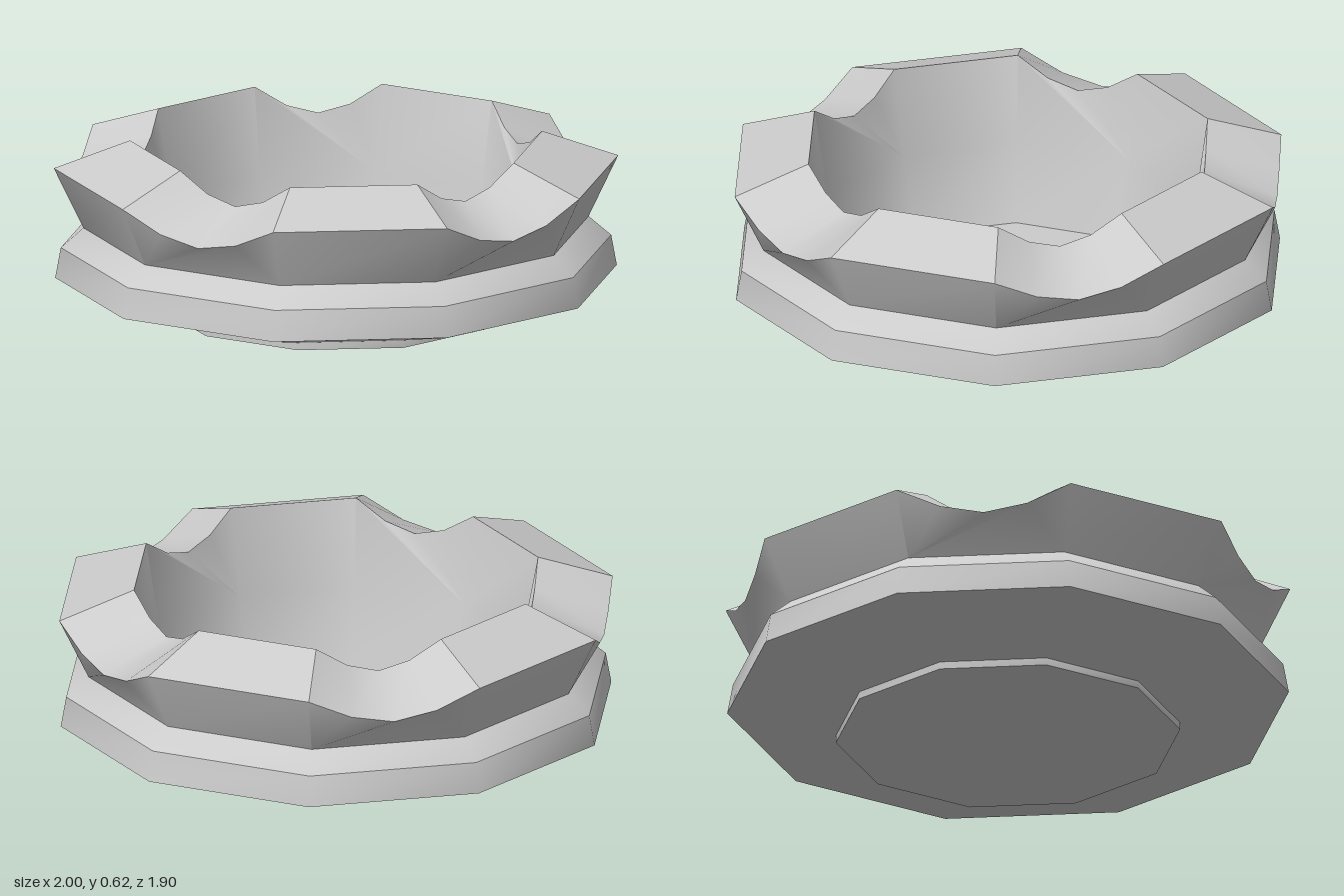
import * as THREE from 'three';
import { mergeGeometries, toCreasedNormals } from 'three/addons/utils/BufferGeometryUtils.js';

const SIDES = 10;
const STEP = (Math.PI * 2) / SIDES;
const CREASE = 0.64;

// Drop of a rest notch along one side: [fraction along the side, drop].
const NOTCH = [[0, 0], [0.25, 0.07], [0.5, 0.1], [0.75, 0.07], [1, 0]];
const PLAIN = [[0, 0], [1, 0]];

// Points of one ring along one side; notched rings dip on every second side.
function chain(ring, side) {
  const corner = (i) => new THREE.Vector3(
    ring.r * Math.cos(i * STEP), ring.y, ring.r * Math.sin(i * STEP));
  const a = corner(side), b = corner((side + 1) % SIDES);
  const dips = ring.notched && side % 2 === 0 ? NOTCH : PLAIN;
  return dips.map(([t, drop]) => {
    const p = a.clone().lerp(b, t);
    p.y -= drop;
    return p;
  });
}

// Triangles between two neighbouring chains of one side.
function stitch(lower, upper, tri) {
  if (lower.length === upper.length) {
    for (let i = 0; i + 1 < lower.length; i++) {
      tri(lower[i + 1], lower[i], upper[i]);
      tri(lower[i + 1], upper[i], upper[i + 1]);
    }
    return;
  }
  // A straight edge fans out to a notched edge.
  const flip = lower.length > upper.length;
  const [edge, curve] = flip ? [upper, lower] : [lower, upper];
  const pivot = flip ? 0 : 1;
  const put = (a, b, c) => (flip ? tri(a, c, b) : tri(a, b, c));
  put(edge[1], edge[0], curve[pivot]);
  for (let i = 0; i + 1 < curve.length; i++) {
    put(edge[i < pivot ? 0 : 1], curve[i], curve[i + 1]);
  }
}

// Skins one side of a list of rings.
function sideGeometry(rings, side) {
  const pos = [];
  const tri = (a, b, c) => {
    const area = b.clone().sub(a).cross(c.clone().sub(a)).length();
    if (area > 1e-7) pos.push(...a.toArray(), ...b.toArray(), ...c.toArray());
  };
  for (let k = 0; k + 1 < rings.length; k++) {
    stitch(chain(rings[k], side), chain(rings[k + 1], side), tri);
  }
  const geo = new THREE.BufferGeometry();
  geo.setAttribute('position', new THREE.Float32BufferAttribute(pos, 3));
  return geo;
}

// Joins all sides; hard corners keep each side's shading to itself.
function skin(name, rings, material, hardCorners = false) {
  const sides = Array.from({ length: SIDES }, (_, s) => sideGeometry(rings, s));
  const geo = hardCorners
    ? mergeGeometries(sides.map((g) => toCreasedNormals(g, CREASE)))
    : toCreasedNormals(mergeGeometries(sides), CREASE);
  const mesh = new THREE.Mesh(geo, material);
  mesh.name = name;
  return mesh;
}

export function createModel() {
  const group = new THREE.Group();
  group.name = 'ashtray';
  const material = new THREE.MeshStandardMaterial({ color: 0xcccccc });
  const ring = (r, y, notched = false) => ({ r, y, notched });

  const waist = ring(0.895, 0.31);
  const rimOuter = ring(1, 0.53, true);
  const rimInner = ring(0.73, 0.625, true);

  // Foot, sloping underside and lower band
  group.add(skin('base', [
    ring(0, 0), ring(0.61, 0), ring(0.61, 0.027),
    ring(0.995, 0.13), ring(0.975, 0.24), waist,
  ], material));
  // Flared outer wall
  group.add(skin('outerWall', [waist, rimOuter], material));
  // Sloping rim with five rest notches
  group.add(skin('rim', [rimOuter, rimInner], material, true));
  // Deep hollow and its floor
  group.add(skin('bowl', [
    rimInner, ring(0.68, 0.31), ring(0.61, 0.03), ring(0, 0.03),
  ], material));
  return group;
}
